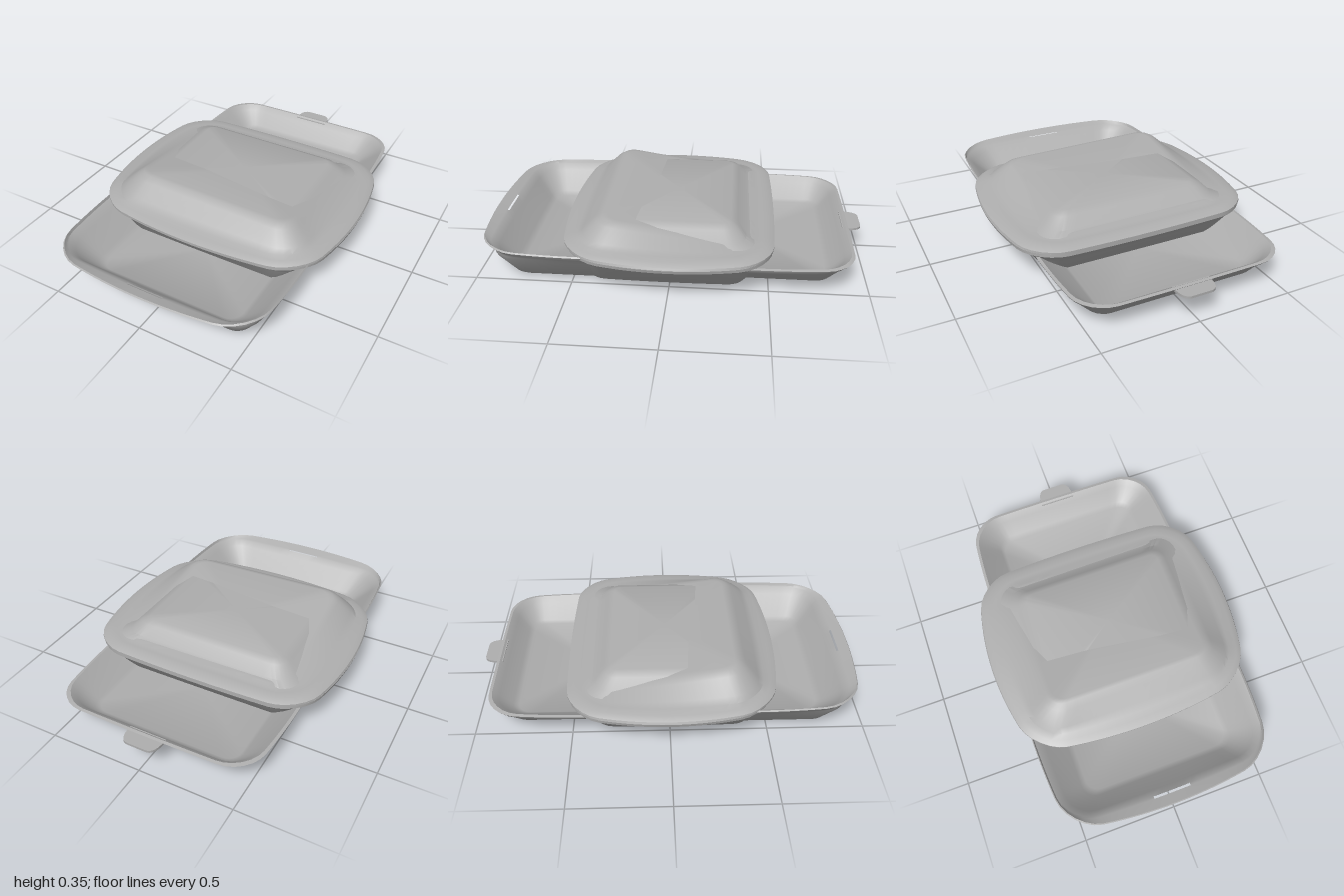
import * as THREE from 'three';
import { toCreasedNormals } from 'three/addons/utils/BufferGeometryUtils.js';

const EDGE = 16, ARC = 6;

// Rounded rectangle with bowed sides, counter-clockwise seen from above.
// Ring: [y, half width, back z, front z, corner radius, side bow, front bow]
function outline([y, hw, zb, zf, r, bowX = 0, bowZ = 0]) {
  const cz = (zb + zf) / 2, hz = (zf - zb) / 2, pts = [];
  const add = (x, z) => {
    const u = x / hw, v = z / hz;
    const bz = z > 0 ? bowZ : bowZ * 0.3;
    pts.push(new THREE.Vector3(
      x + u * bowX * (1 - v * v), y, cz + z + v * bz * (1 - u * u)));
  };
  const corners = [[1, -1], [-1, -1], [-1, 1], [1, 1]];
  corners.forEach(([sx, sz], k) => {
    const ox = sx * (hw - r), oz = sz * (hz - r);
    for (let i = 0; i <= ARC; i++) {
      const a = (k + i / ARC) * Math.PI / 2;
      add(ox + r * Math.cos(a), oz - r * Math.sin(a));
    }
    // straight edge to the next corner
    const [nx, nz] = corners[(k + 1) % 4];
    const a = (k + 1) * Math.PI / 2;
    const dx = r * Math.cos(a), dz = -r * Math.sin(a);
    for (let i = 1; i < EDGE; i++) {
      const t = i / EDGE;
      add(ox + dx + (nx * (hw - r) - ox) * t, oz + dz + (nz * (hz - r) - oz) * t);
    }
  });
  return pts;
}

// Closed skin through the rings, capped at both ends.
function loft(rings, { bend, skip } = {}) {
  const loops = rings.map(outline);
  const centre = (loop, ring) =>
    loop.map(() => new THREE.Vector3(0, ring[0], (ring[2] + ring[3]) / 2));
  loops.unshift(centre(loops[0], rings[0]));
  loops.push(centre(loops[loops.length - 1], rings[rings.length - 1]));
  const n = loops[0].length, index = [], pos = [];
  for (const loop of loops) for (const p of loop) {
    if (bend) bend(p);
    pos.push(p.x, p.y, p.z);
  }
  for (let i = 0; i < loops.length - 1; i++) for (let j = 0; j < n; j++) {
    const k = (j + 1) % n;
    if (skip && skip(i, loops[i][j], loops[i][k])) continue;
    const a = i * n + j, b = i * n + k, c = b + n, d = a + n;
    if (i > 0) index.push(a, b, c);
    if (i === 0) index.push(a, c, d);
    else if (i < loops.length - 2) index.push(a, c, d);
  }
  const g = new THREE.BufferGeometry();
  g.setAttribute('position', new THREE.Float32BufferAttribute(pos, 3));
  g.setIndex(index);
  return toCreasedNormals(g, 0.6);
}

export function createModel() {
  const group = new THREE.Group();
  const foam = new THREE.MeshStandardMaterial({ color: 0xaeaeae, side: THREE.DoubleSide });
  foam.name = 'grey foam';
  const part = (name, geometry) => {
    const mesh = new THREE.Mesh(geometry, foam);
    mesh.name = name;
    group.add(mesh);
    return mesh;
  };

  // Front tray, with a latch slot through its front flange
  const slotRings = [5, 9];
  part('frontTray', loft([
    [0.005, 0.44, 0.02, 0.79, 0.06],
    [0.025, 0.465, 0, 0.82, 0.08],
    [0.14, 0.53, -0.04, 0.895, 0.11, 0.02, 0.01],
    [0.165, 0.54, -0.05, 0.905, 0.13, 0.03, 0.02],
    [0.178, 0.545, -0.05, 0.908, 0.14, 0.035, 0.02],
    [0.184, 0.55, -0.05, 0.918, 0.15, 0.035, 0.024],
    [0.2, 0.56, -0.05, 0.94, 0.17, 0.035, 0.06],
    [0.207, 0.555, -0.05, 0.935, 0.17, 0.035, 0.06],
    [0.192, 0.55, -0.05, 0.918, 0.15, 0.035, 0.024],
    [0.187, 0.545, -0.05, 0.908, 0.14, 0.03, 0.02],
    [0.16, 0.52, -0.03, 0.885, 0.13, 0.02, 0.01],
    [0.06, 0.43, 0.02, 0.81, 0.08],
    [0.04, 0.4, 0.03, 0.78, 0.07],
  ], {
    skip: (i, p, q) => slotRings.includes(i) && p.z > 0.8 &&
      Math.abs(p.x + q.x) / 2 < 0.1,
  }));

  // Rear tray
  part('rearTray', loft([
    [0.03, 0.42, -0.79, 0, 0.07],
    [0.045, 0.45, -0.82, 0, 0.09],
    [0.13, 0.51, -0.885, 0.03, 0.13, 0.03],
    [0.15, 0.525, -0.915, 0.04, 0.15, 0.035, 0.02],
    [0.162, 0.53, -0.925, 0.04, 0.15, 0.035, 0.02],
    [0.165, 0.515, -0.91, 0.03, 0.15, 0.035, 0.02],
    [0.14, 0.49, -0.88, 0.02, 0.13, 0.03],
    [0.065, 0.42, -0.82, 0, 0.08],
    [0.052, 0.4, -0.79, 0, 0.07],
  ]));

  // Rounded latch tab on the rear rim
  const tab = new THREE.Shape();
  tab.moveTo(-0.1, 0.9);
  tab.lineTo(-0.095, 0.95);
  tab.quadraticCurveTo(-0.085, 1, -0.05, 1);
  tab.lineTo(0.05, 1);
  tab.quadraticCurveTo(0.085, 1, 0.095, 0.95);
  tab.lineTo(0.1, 0.9);
  const tabMesh = part('latchTab',
    new THREE.ExtrudeGeometry(tab, { depth: 0.012, bevelEnabled: false }));
  tabMesh.rotation.x = -Math.PI / 2;
  tabMesh.position.y = 0.146;

  // Closed box in the middle: base
  part('boxBase', loft([
    [0, 0.45, -0.36, 0.4, 0.07],
    [0.02, 0.48, -0.385, 0.42, 0.09, 0.01],
    [0.13, 0.545, -0.455, 0.46, 0.12, 0.035, 0.02],
    [0.165, 0.565, -0.48, 0.48, 0.14, 0.06, 0.04],
    [0.19, 0.59, -0.505, 0.5, 0.16, 0.085, 0.06],
    [0.207, 0.59, -0.505, 0.5, 0.16, 0.09, 0.06],
    [0.21, 0.56, -0.48, 0.48, 0.15, 0.08, 0.06],
  ]));

  // Lid, lifted at the front and sinking towards the rear
  part('boxLid', loft([
    [0.205, 0.57, -0.49, 0.49, 0.16, 0.08, 0.06],
    [0.21, 0.59, -0.51, 0.51, 0.16, 0.09, 0.065],
    [0.22, 0.59, -0.51, 0.51, 0.16, 0.085, 0.065],
    [0.235, 0.57, -0.48, 0.49, 0.15, 0.075, 0.045],
    [0.24, 0.54, -0.45, 0.465, 0.14, 0.06, 0.03],
    [0.262, 0.53, -0.43, 0.445, 0.13, 0.03, 0.01],
    [0.325, 0.47, -0.41, 0.385, 0.1, 0.01],
    [0.344, 0.445, -0.4, 0.35, 0.08],
    [0.347, 0.42, -0.39, 0.33, 0.07],
  ], {
    bend: (p) => {
      if (p.y <= 0.235) return;
      const k = THREE.MathUtils.clamp(1 + (p.z - 0.33) * 1.35, 0.1, 1);
      p.y = 0.235 + (p.y - 0.235) * k * (1 - 0.2 * p.x);
    },
  }));

  // Level panel rising through the rear of the lid
  part('lidPanel', loft([
    [0.215, 0.55, -0.44, 0.3, 0.1],
    [0.24, 0.52, -0.42, 0.3, 0.1],
    [0.25, 0.48, -0.38, 0.29, 0.09],
    [0.3, 0.43, -0.335, 0.28, 0.07],
    [0.317, 0.385, -0.3, 0.27, 0.04],
  ]));

  return group;
}
